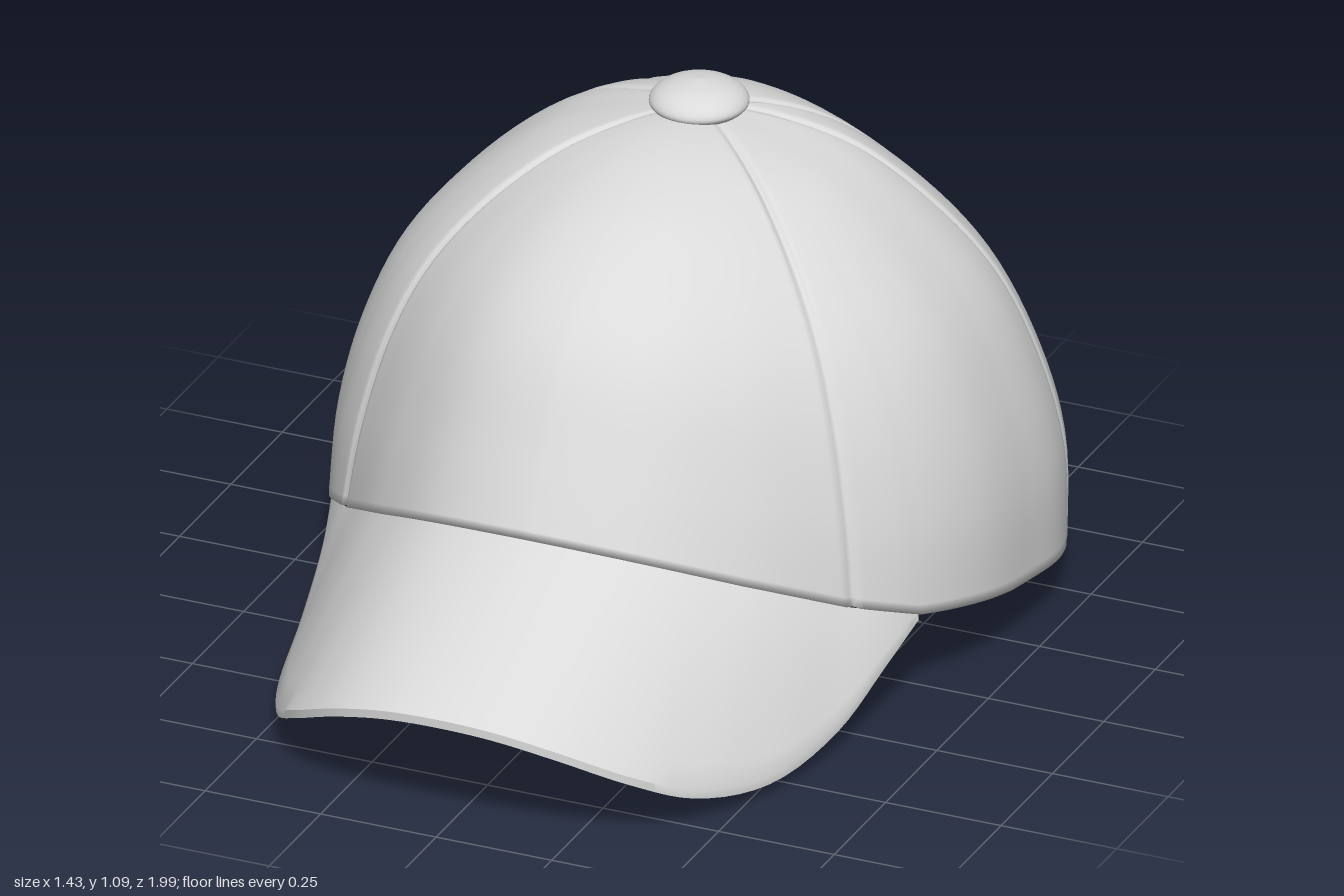
import * as THREE from 'three';
import { toCreasedNormals } from 'three/addons/utils/BufferGeometryUtils.js';

const RAD = Math.PI / 180;
const APEX = { y: 1.04, z: -0.28 };
const spline = (pts) => new THREE.SplineCurve(pts.map(([x, y]) => new THREE.Vector2(x, y)));

// Crown profiles as (share of radius, share of drop), from apex to rim
const FRONT = spline([[0, 0], [0.17, 0.01], [0.33, 0.05], [0.5, 0.13], [0.68, 0.28], [0.81, 0.47], [0.92, 0.76], [1, 1]]);
const SIDE = spline([[0, 0], [0.22, 0.03], [0.45, 0.1], [0.67, 0.24], [0.83, 0.4], [0.935, 0.6], [0.99, 0.8], [1, 1]]);
const BACK = spline([[0, 0], [0.17, 0.01], [0.35, 0.07], [0.55, 0.19], [0.73, 0.33], [0.9, 0.53], [1, 0.72], [0.96, 1]]);

// Plan radius every 15 degrees from front to back
const RADII = spline([0.85, 0.83, 0.78, 0.74, 0.735, 0.725, 0.715, 0.73, 0.73, 0.71, 0.705, 0.708, 0.715].map((r, i) => [i, r]));
// Rim height by z
const RIM = [[0.57, 0.46], [0.4, 0.36], [0.22, 0.26], [0.08, 0.2], [-0.2, 0.14], [-0.5, 0.09], [-0.86, 0.03]];
const SEAMS = [48.5, 111.4, 131.6];

function rimHeight(z) {
  if (z >= RIM[0][0]) return RIM[0][1];
  for (let i = 1; i < RIM.length; i++) {
    const [z0, y0] = RIM[i - 1], [z1, y1] = RIM[i];
    if (z >= z1) return y0 + (y1 - y0) * (z0 - z) / (z0 - z1);
  }
  return 0.03;
}

// Angle in degrees from the front, folded to 0..180
function fold(deg) {
  const a = Math.abs(deg) % 360;
  return a > 180 ? 360 - a : a;
}

function crownPoint(deg, t, inset = 0, grooves = false) {
  const a = fold(deg), c = Math.cos(a * RAD);
  const main = (c > 0 ? FRONT : BACK).getPoint(t);
  const p = main.lerp(SIDE.getPoint(t), 1 - c * c);
  const R = RADII.getPoint(a / 180).y;
  const bottom = rimHeight(APEX.z + R * c);
  let r = R * p.x, y = APEX.y - p.y * (APEX.y - bottom), depth = inset;
  if (grooves) for (const s of SEAMS) {
    const d = (a - s) * RAD * r / 0.008;
    depth += 0.01 * Math.exp(-d * d) * Math.min(1, t * 4);
  }
  y -= depth * (1 - p.x);
  r = Math.max(r - depth * Math.min(1, t * 3), 0.001);
  return [r * Math.sin(deg * RAD), y, APEX.z + r * Math.cos(deg * RAD)];
}

// Surface through fn(i, j), normal (j direction) x (i direction);
// faces where isDark(i, j) holds go to the second material
function grid(fn, nu, nv, wrapU, isDark = () => false) {
  const pos = [], light = [], dark = [];
  for (let i = 0; i < nu; i++) for (let j = 0; j < nv; j++) pos.push(...fn(i, j));
  for (let i = 0; i < nu - (wrapU ? 0 : 1); i++) for (let j = 0; j < nv - (wrapU ? 1 : 0); j++) {
    const i2 = (i + 1) % nu, j2 = (j + 1) % nv;
    const a = i * nv + j, b = i * nv + j2, c = i2 * nv + j, d = i2 * nv + j2;
    (isDark(i, j, pos[3 * a + 1]) ? dark : light).push(a, b, c, c, b, d);
  }
  const g = new THREE.BufferGeometry();
  g.setAttribute('position', new THREE.Float32BufferAttribute(pos, 3));
  g.setIndex(light.concat(dark));
  g.addGroup(0, light.length, 0);
  g.addGroup(light.length, dark.length, 1);
  g.computeVertexNormals();
  return g;
}

// Crown shell: outer and inner skin, arched opening at the back, dark band inside the rim
function crownGeometry() {
  const cols = 480, rows = 40, ends = [], bandTop = [];
  for (let i = 0; i < cols; i++) {
    const deg = i * 360 / cols, a = fold(deg), phi = (180 - a) / 30;
    let end = 1;
    if (phi < 1) {
      const arch = 0.03 + 0.36 * Math.sqrt(1 - phi * phi);
      let lo = 0.3, hi = 1;
      for (let k = 0; k < 18; k++) {
        end = (lo + hi) / 2;
        if (crownPoint(deg, end)[1] > arch) lo = end; else hi = end;
      }
    }
    ends.push(end);
    bandTop.push(a > 61 && a < 149 ? crownPoint(deg, 1)[1] + 0.11 : -1);
  }
  return grid((i, j) => {
    const outer = j < rows;
    const t = ends[i] * (outer ? j : 2 * rows - 1 - j) / (rows - 1);
    return crownPoint(i * 360 / cols, t, outer ? 0 : 0.02, outer);
  }, cols, rows * 2, true, (i, j, y) => j >= rows - 1 && y < bandTop[i]);
}

// Curved brim: ruled from the crown's rim to a bowed outer edge, dark underneath
function brimGeometry() {
  const half = [
    [0.12, 0.25, 0.99], [0.24, 0.215, 0.955], [0.36, 0.15, 0.875], [0.45, 0.085, 0.76],
    [0.53, 0.045, 0.57], [0.58, 0.07, 0.35], [0.61, 0.145, 0.18], [0.635, 0.205, 0.08],
  ];
  const mirrored = half.map(([x, y, z]) => [-x, y, z]).reverse();
  const edge = new THREE.CatmullRomCurve3([...mirrored, [0, 0.26, 1], ...half].map((p) => new THREE.Vector3(...p)));
  const n = 81, m = 9;
  return toCreasedNormals(grid((i, j) => {
    const u = i / (n - 1);
    const top = j < m, v = (top ? j : 2 * m - 1 - j) / (m - 1);
    const p = new THREE.Vector3(...crownPoint((2 * u - 1) * 61, 1, 0.003)).lerp(edge.getPoint(u), v);
    return [p.x, p.y - (top ? 0 : 0.018), p.z];
  }, n, m * 2, false, (i, j) => j >= m), 0.7);
}

// Curved band across the opening, between two angles from the back
function bandGeometry(from, to, offset, half) {
  const n = 41, section = [[half, 0.165], [half, 0.038], [-half, 0.038], [-half, 0.165]];
  return toCreasedNormals(grid((i, j) => {
    const phi = from + (to - from) * i / (n - 1), a = (180 + phi) * RAD;
    const r = 0.682 - 0.025 * (phi / 36) ** 2 + offset + section[j][0];
    return [r * Math.sin(a), section[j][1], APEX.z + r * Math.cos(a)];
  }, n, 4, false), 0.7);
}

function rectangle(Type, w, h) {
  return new Type([[-w, -h], [w, -h], [w, h], [-w, h]].map(([x, y]) => new THREE.Vector2(x, y)));
}

export function createModel() {
  const group = new THREE.Group();
  const cloth = new THREE.MeshStandardMaterial({ color: 0xdadada });
  cloth.name = 'light grey cloth';
  const lining = new THREE.MeshStandardMaterial({ color: 0x555555 });
  lining.name = 'dark grey lining';
  const add = (name, geometry, material = cloth, parent = group) => {
    const mesh = new THREE.Mesh(geometry, material);
    mesh.name = name;
    parent.add(mesh);
    return mesh;
  };

  add('crown', crownGeometry(), [cloth, lining]);
  add('brim', brimGeometry(), [cloth, lining]);
  add('strap', bandGeometry(-36, 36, 0, 0.008), [cloth, lining]);
  add('strapLining', bandGeometry(-18, 24, -0.01, 0.003), lining);

  // Button on top
  const profile = spline([[0.06, 1.015], [0.09, 1.03], [0.1, 1.046], [0.085, 1.066], [0.05, 1.082], [0, 1.09]]);
  add('button', new THREE.LatheGeometry(profile.getPoints(20), 40)).position.z = APEX.z;

  // Buckle: a rectangular frame around a raised fold of strap, dark on the inside
  const buckle = new THREE.Group();
  buckle.name = 'buckle';
  const frame = rectangle(THREE.Shape, 0.07, 0.086);
  frame.holes.push(rectangle(THREE.Path, 0.055, 0.068));
  add('buckleFrame', new THREE.ExtrudeGeometry(frame, {
    depth: 0.026, bevelEnabled: true, bevelSize: 0.004, bevelThickness: 0.004, bevelSegments: 2,
  }), cloth, buckle).position.z = -0.012;
  add('strapFold', new THREE.BoxGeometry(0.095, 0.125, 0.034), cloth, buckle);
  add('buckleBack', new THREE.BoxGeometry(0.148, 0.18, 0.006), lining, buckle).position.z = -0.019;
  const angle = 194 * RAD;
  buckle.position.set(0.698 * Math.sin(angle), 0.09, APEX.z + 0.698 * Math.cos(angle));
  buckle.rotation.y = angle;
  group.add(buckle);

  return group;
}
